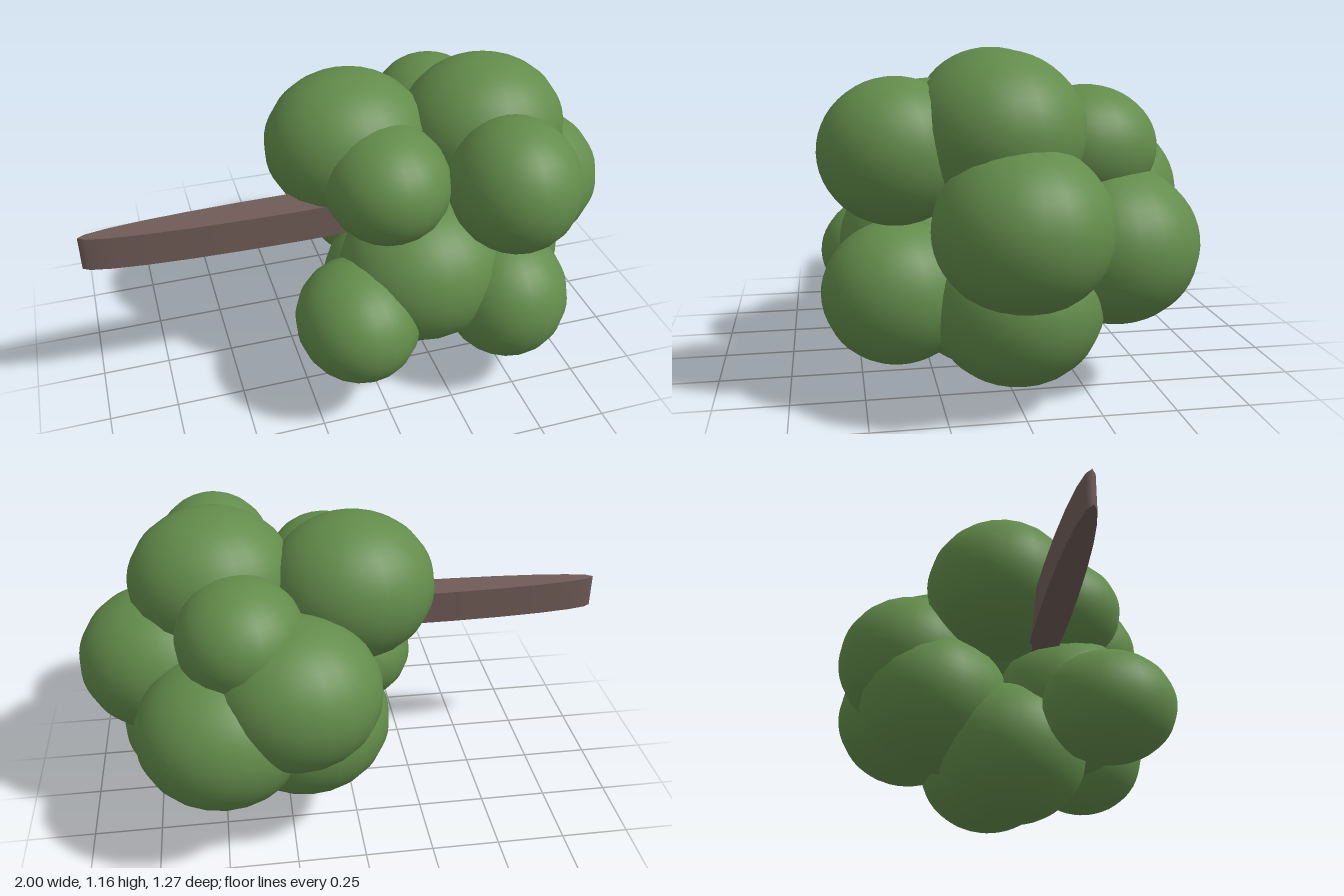
import * as THREE from 'three';

export function createModel() {
  const model = new THREE.Group();
  const green = new THREE.MeshStandardMaterial({ color: 0x638c4b });
  const brown = new THREE.MeshStandardMaterial({ color: 0x705c57 });

  // Foliage: overlapping, slightly flattened balls
  const foliage = new THREE.Group();
  foliage.name = 'foliage';
  const ball = new THREE.SphereGeometry(1, 20, 24);
  const big = [0.305, 0.27, 0.29];
  const small = [0.225, 0.21, 0.245];
  const round = [0.23, 0.24, 0.252];
  const clumps = [
    ['topRightClump', [-0.01, 0.875, -0.01], big],
    ['topLeftClump', [0.49, 0.895, 0.05], big],
    ['leftClump', [0.69, 0.62, 0.005], big],
    ['lowerLeftClump', [0.56, 0.34, 0], big],
    ['bottomClump', [0.19, 0.275, 0.055], big],
    ['frontClump', [0.19, 0.48, 0.275], big],
    ['backLowerClump', [0.19, 0.47, -0.25], big],
    ['backLeftClump', [0.49, 0.51, -0.345], big],
    ['backUpperClump', [0.23, 0.645, -0.345], big],
    ['backTopClump', [0.405, 0.83, -0.262], small],
    ['frontTopClump', [0.063, 0.83, 0.23], small],
    ['frontUpperLeftClump', [0.478, 0.842, 0.383], round],
    ['frontLowerLeftClump', [0.48, 0.373, 0.383], round],
    ['frontLowerRightClump', [-0.088, 0.373, 0.383], [0.222, 0.213, 0.25]],
  ];
  for (const [name, position, size] of clumps) {
    const clump = new THREE.Mesh(ball, green);
    clump.name = name;
    clump.position.set(...position);
    clump.scale.set(...size);
    foliage.add(clump);
  }
  model.add(foliage);

  // Branch: a flat-topped, long elliptical bar running into the foliage
  const branch = new THREE.Mesh(new THREE.CylinderGeometry(1, 1, 0.127, 24), brown);
  branch.name = 'branch';
  branch.scale.set(0.75, 1, 0.06);
  branch.position.set(-0.25, 0.693, 0.15);
  model.add(branch);

  return model;
}
